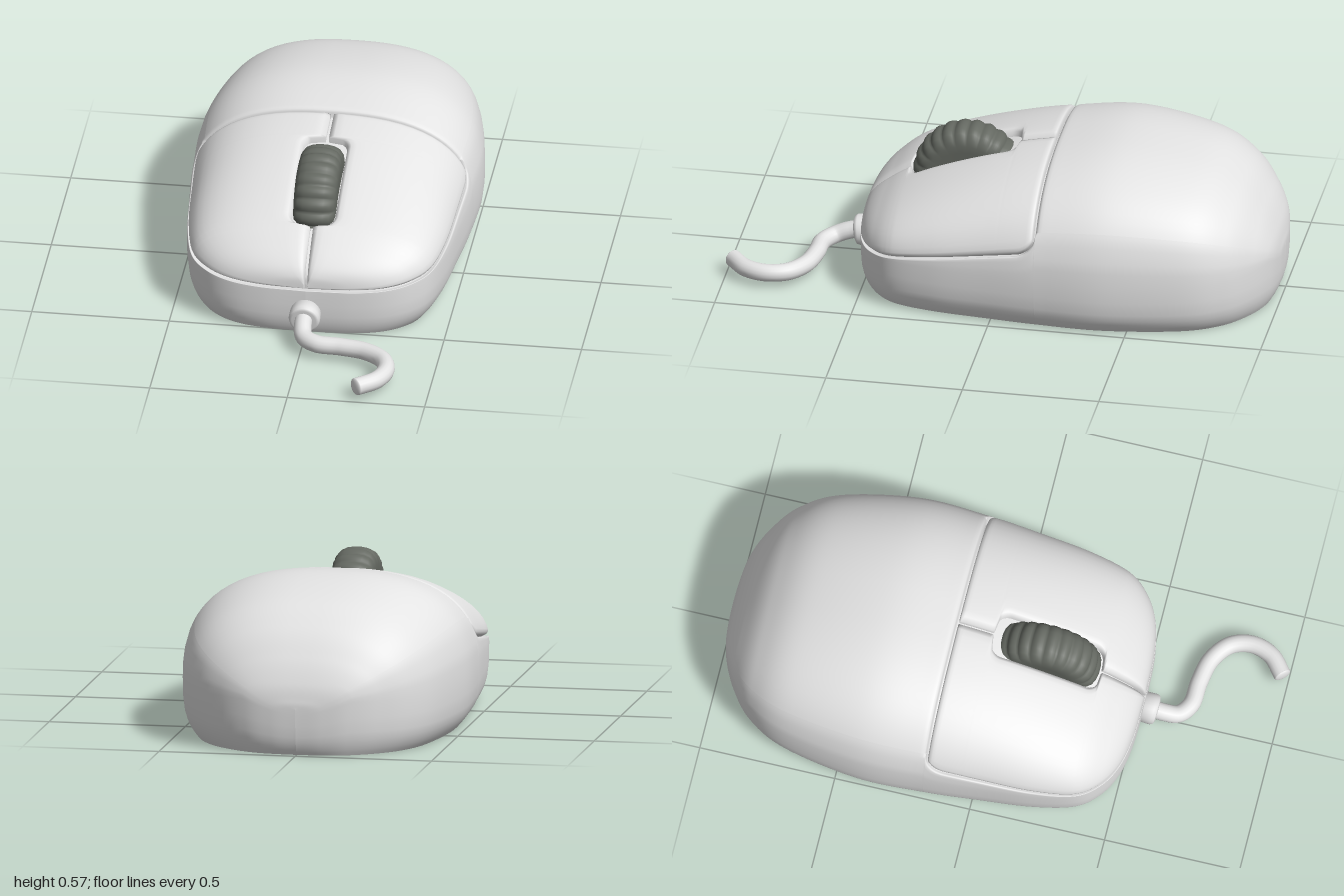
import * as THREE from 'three';

const shellMat = new THREE.MeshStandardMaterial({ color: 0xe4e4e4 });
shellMat.name = 'light grey plastic';
const wheelMat = new THREE.MeshStandardMaterial({ color: 0x656962 });
wheelMat.name = 'dark grey rubber';

// Rail from back to front: half width, crown height, z
const RAIL = [
  [0, 0.17, -1], [0.095, 0.2, -0.996], [0.19, 0.262, -0.978], [0.29, 0.35, -0.93], [0.39, 0.447, -0.845],
  [0.466, 0.525, -0.7], [0.517, 0.57, -0.42], [0.512, 0.54, -0.17], [0.495, 0.497, 0.03], [0.475, 0.435, 0.22],
  [0.438, 0.37, 0.37], [0.375, 0.317, 0.45], [0.285, 0.272, 0.5], [0.165, 0.235, 0.524], [0, 0.2, 0.53],
];
const rail = new THREE.CatmullRomCurve3(RAIL.map(p => new THREE.Vector3(...p)), false, 'catmullrom', 0.5);
const LAST = RAIL.length - 1, SEAM = 7, POW = 0.8;

// Measures of the cross-section at rail position u
function section(u) {
  const p = rail.getPoint(u / LAST);
  const W = Math.max(0, p.x), T = p.y, z = p.z;
  let seam = 0.277 - 0.183 * z;
  const r = 0.07, d = z + 0.17;
  if (d < r) seam += r - Math.sqrt(Math.max(0, r * r - (r - Math.max(d, 0)) ** 2));
  const y0 = Math.min(0.2, seam - 0.01, 0.15 + (T - 0.17) * 0.5);
  const f = u <= SEAM ? 0.53 : (seam - y0) / (T - y0);
  const angle = h => Math.asin(Math.min(1, Math.max(0, h)) ** (1 / POW));
  return { W, T, z, y0, seamAngle: angle(f), seamAngleAt: lift => angle(f + lift / (T - y0)) };
}

// Point on the upper arc of a section
const arc = (s, a) => new THREE.Vector3(
  s.W * Math.max(0, Math.cos(a)) ** POW, s.y0 + (s.T - s.y0) * Math.sin(a) ** POW, s.z);

// Point on the lower wall, tucked in towards the base
function wall(s, k) {
  const tuck = (1 - k) ** 3.5;
  return new THREE.Vector3(s.W * (1 - 0.11 * tuck), s.y0 * k, -0.2 + (s.z + 0.2) * (1 - 0.035 * tuck));
}

// Sink a point towards the inside of the body
function sink(p, d) {
  if (!d) return p;
  const c = new THREE.Vector3(p.x * 0.5, 0.12, THREE.MathUtils.clamp(p.z, -0.7, 0.3));
  return p.addScaledVector(c.sub(p).normalize(), d);
}

// Surface from rows of points
function grid(rows) {
  const n = rows[0].length, index = [];
  for (let i = 0; i < rows.length - 1; i++) for (let j = 0; j < n - 1; j++) {
    const a = i * n + j, b = a + 1, c = a + n, d = c + 1;
    index.push(a, b, c, b, d, c);
  }
  const g = new THREE.BufferGeometry().setFromPoints(rows.flat());
  g.setIndex(index);
  g.computeVertexNormals();
  return g;
}

const range = (a, b, step) => {
  const n = Math.round((b - a) / step);
  return Array.from({ length: n + 1 }, (_, i) => a + (b - a) * i / n);
};

// Main shell, recessed where the buttons sit
const shellStations = [
  ...range(0, 6.8, 0.1).map(u => ({ u, ins: 0 })),
  { u: 6.9, ins: 0 }, { u: 6.95, ins: 0.001 }, { u: 6.98, ins: 0.004 }, { u: 7, ins: 0.012 },
  ...[7.0001, 7.02, 7.06, 7.12, 7.2, 7.3, ...range(7.4, LAST, 0.1)].map(u => ({ u, front: true })),
];

function shellGeometry() {
  const vs = [0, 0.03, 0.06, 0.1, 0.15, 0.22, 0.35, 0.5, 0.6, 0.7, 0.85, 0.93, 0.97, 1, 1.0001, 1.05,
    ...range(1.12, 2, 0.08)];
  return grid(shellStations.map(st => {
    const s = section(st.u);
    const half = vs.map(v => {
      if (v < 0.5) return wall(s, v * 2);
      const a = v <= 1 ? s.seamAngle * (v - 0.5) * 2
        : THREE.MathUtils.lerp(s.seamAngle, Math.PI / 2, v - 1);
      let d = v >= 1 ? st.ins : 0;
      if (st.front) d = v > 1 ? 0.03 : v === 1 ? 0.008 : v > 0.95 ? 0.002 : 0;
      return sink(arc(s, a), d);
    });
    const other = half.slice(0, -1).reverse().map(p => new THREE.Vector3(-p.x, p.y, p.z));
    return [...half, ...other];
  }));
}

// Flat underside
function undersideGeometry() {
  return grid(shellStations.map(st => {
    const p = wall(section(st.u), 0);
    return [new THREE.Vector3(-p.x, 0, p.z), p];
  }));
}

// Inner edge of a button: narrow centre gap, wider around the wheel
function innerEdge(z) {
  const d = Math.min(z + 0.03, 0.372 - z), r = 0.045;
  if (d < 0) return 0.006;
  return 0.082 - r + (d < r ? Math.sqrt(r * r - (r - d) ** 2) : r);
}

// Button with rolled edges
function buttonGeometry(side) {
  const stations = [[7.04, 0.035], [7.04, 0.01], [7.065, 0.003], [7.11, 0],
    ...range(7.16, 10.2, 0.04).map(u => [u, 0]), ...range(10.3, LAST, 0.1).map(u => [u, 0])];
  const roll = [[0, 0.035], [0, 0.01], [0.015, 0.003], [0.04, 0]];
  const vs = [...roll, ...range(0.1, 0.9, 0.08).map(v => [v, 0]),
    ...roll.slice().reverse().map(([v, d]) => [1 - v, d])];
  return grid(stations.map(([u, insU]) => {
    const s = section(u), g = innerEdge(s.z);
    const a0 = s.seamAngleAt(0.009);
    const a1 = Math.max(a0, Math.acos(Math.min(1, g / Math.max(s.W, 1e-5)) ** (1 / POW)));
    const row = vs.map(([v, insV]) => {
      const p = arc(s, THREE.MathUtils.lerp(a0, a1, v));
      p.x = Math.max(p.x, 0.006);
      sink(p, Math.max(insU, insV));
      p.x = Math.max(p.x, 0.005) * side;
      return p;
    });
    return side > 0 ? row : row.reverse();
  }));
}

// Scroll wheel with shallow cross ridges on a rounded tread
function wheelGeometry() {
  const profile = [[0, -0.072], [0.12, -0.077], [0.145, -0.077], [0.168, -0.072], [0.186, -0.058], [0.196, -0.037],
    [0.2, -0.013], [0.2, 0.013], [0.196, 0.037], [0.186, 0.058], [0.168, 0.072], [0.145, 0.077], [0.12, 0.077], [0, 0.072]];
  const g = new THREE.LatheGeometry(profile.map(p => new THREE.Vector2(...p)), 192);
  const pos = g.attributes.position;
  for (let i = 0; i < pos.count; i++) {
    const x = pos.getX(i), z = pos.getZ(i), r = Math.hypot(x, z);
    if (r < 0.15) continue;
    const k = 1 + 0.009 * (Math.abs(Math.sin(Math.atan2(x, z) * 12)) - 0.6) / r;
    pos.setX(i, x * k);
    pos.setZ(i, z * k);
  }
  g.computeVertexNormals();
  return g.rotateZ(Math.PI / 2);
}

export function createModel() {
  const model = new THREE.Group();
  model.name = 'computerMouse';
  const add = (name, geometry, material = shellMat) => {
    const m = new THREE.Mesh(geometry, material);
    m.name = name;
    model.add(m);
    return m;
  };

  add('shell', shellGeometry());
  add('underside', undersideGeometry());
  add('leftButton', buttonGeometry(1));
  add('rightButton', buttonGeometry(-1));
  add('scrollWheel', wheelGeometry(), wheelMat).position.set(0, 0.35, 0.16);

  // Cable collar
  const collarProfile = [[0, -0.05], [0.055, -0.05], [0.057, 0.02], [0.053, 0.031], [0.044, 0.035], [0, 0.035]];
  const collar = add('cableCollar',
    new THREE.LatheGeometry(collarProfile.map(p => new THREE.Vector2(...p)), 32));
  collar.rotation.x = Math.PI / 2 + 0.15;
  collar.position.set(0, 0.085, 0.54);

  // Curling cable
  const path = new THREE.CatmullRomCurve3([
    [0, 0.09, 0.54], [0, 0.075, 0.6], [0.012, 0.058, 0.65], [0.06, 0.053, 0.685], [0.15, 0.052, 0.693],
    [0.245, 0.052, 0.715], [0.315, 0.052, 0.77], [0.336, 0.052, 0.845], [0.312, 0.052, 0.92], [0.248, 0.052, 0.978],
  ].map(p => new THREE.Vector3(...p)));
  add('cable', new THREE.TubeGeometry(path, 72, 0.032, 16));
  const end = add('cableEnd', new THREE.SphereGeometry(0.032, 16, 10));
  end.scale.z = 0.3;
  end.position.copy(path.getPoint(1));
  end.lookAt(path.getPoint(1).add(path.getTangent(1)));

  return model;
}
